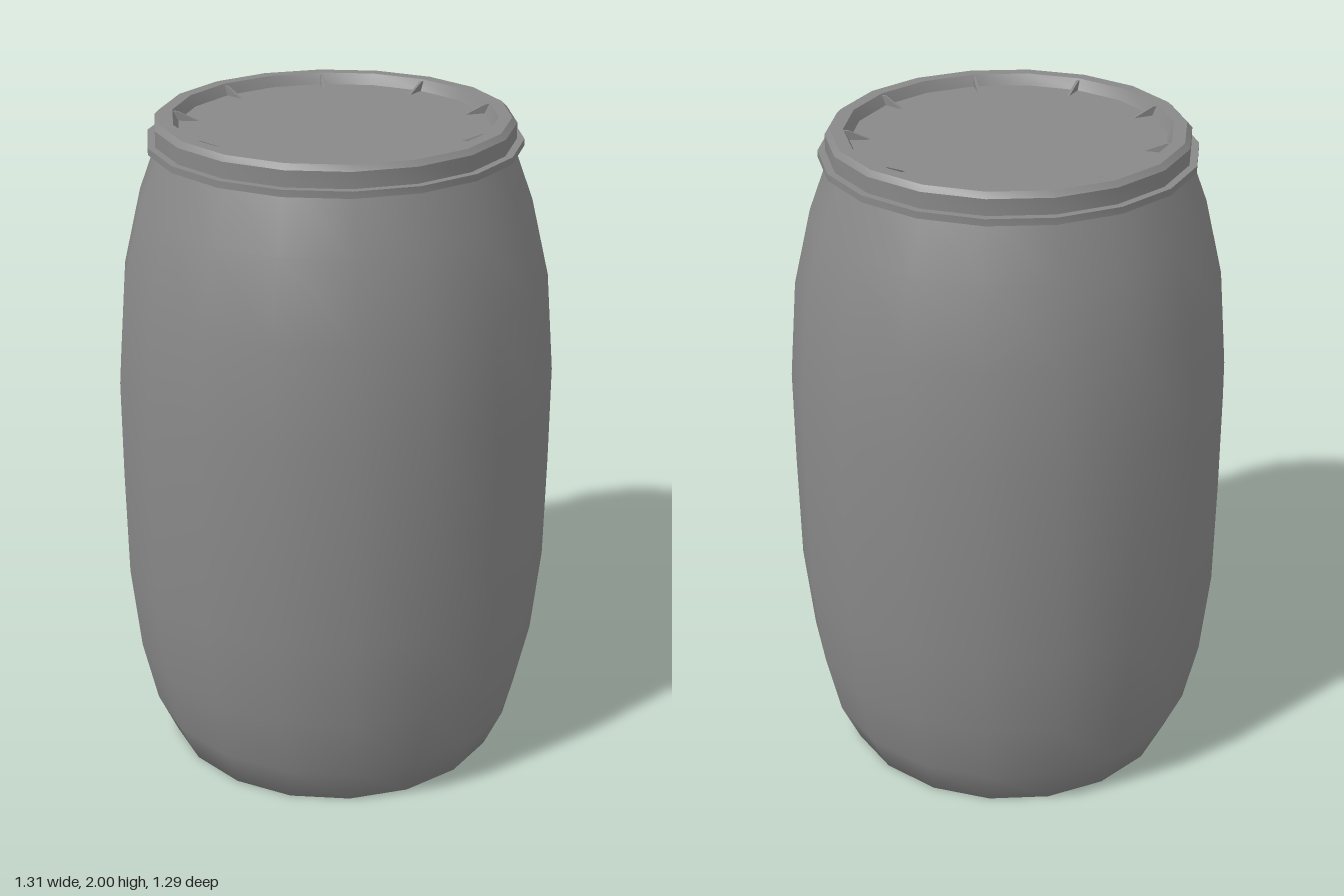
import * as THREE from 'three';
import { toCreasedNormals } from 'three/addons/utils/BufferGeometryUtils.js';

const SIDES = 18;
const RIBS = 9;

// Revolve a [radius, height] profile, with a corner on the x axis
function revolve(profile) {
  const points = profile.map(([r, y]) => new THREE.Vector2(r, y));
  const geometry = new THREE.LatheGeometry(points, SIDES, Math.PI / 2);
  geometry.normalizeNormals();
  return geometry;
}

export function createModel() {
  const model = new THREE.Group();
  model.name = 'barrel';
  const material = new THREE.MeshStandardMaterial({ color: 0x888888 });

  const add = (name, geometry, parent = model) => {
    const mesh = new THREE.Mesh(geometry, material);
    mesh.name = name;
    parent.add(mesh);
    return mesh;
  };

  // Bulging body with a closed base, smooth all over
  add('body', revolve([
    [0, 0], [0.45, 0], [0.525, 0], [0.583, 0.13], [0.627, 0.33], [0.654, 0.6],
    [0.657, 0.93], [0.656, 1.23], [0.63, 1.53], [0.575, 1.76], [0.51, 1.935],
  ]));

  // Lid: clamping flange, chamfered rim and shallow recessed panel
  add('lid', toCreasedNormals(revolve([
    [0.49, 1.918], [0.545, 1.918], [0.545, 1.938], [0.523, 1.938], [0.523, 1.985],
    [0.508, 2], [0.47, 2], [0.454, 1.968], [0, 1.968],
  ]), 0.5));

  // Thin triangular ribs bracing the recess wall
  const ribs = new THREE.Group();
  ribs.name = 'lidRibs';
  model.add(ribs);
  const ribShape = new THREE.Shape([
    new THREE.Vector2(0.39, 1.966),
    new THREE.Vector2(0.456, 1.966),
    new THREE.Vector2(0.469, 1.995),
    new THREE.Vector2(0.455, 1.995),
  ]);
  const ribGeometry = new THREE.ExtrudeGeometry(ribShape, { depth: 0.008, bevelEnabled: false });
  ribGeometry.translate(0, 0, -0.004);
  for (let i = 0; i < RIBS; i++) {
    add('lidRib', ribGeometry, ribs).rotation.y = Math.PI + (i * 2 * Math.PI) / RIBS;
  }

  return model;
}
